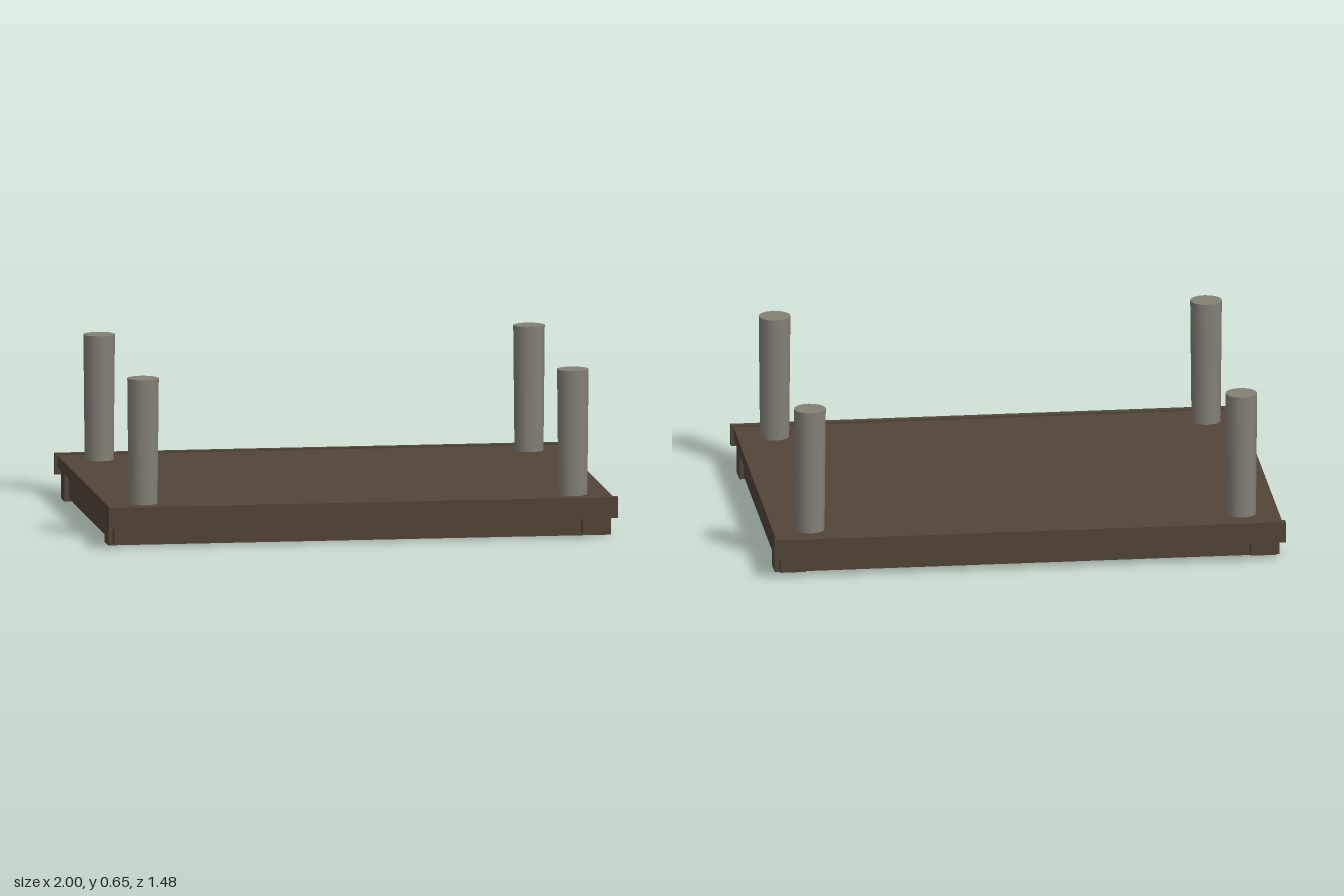
import * as THREE from 'three';

export function createModel() {
  const group = new THREE.Group();
  const wood = new THREE.MeshStandardMaterial({ color: 0x524438 });
  wood.name = 'dark wood';
  const stone = new THREE.MeshStandardMaterial({ color: 0x838075 });
  stone.name = 'grey post';

  // Box given by its centre in x and z and its bottom and top heights
  const box = (name, width, depth, bottom, top, x = 0, z = 0) => {
    const mesh = new THREE.Mesh(new THREE.BoxGeometry(width, top - bottom, depth), wood);
    mesh.position.set(x, (bottom + top) / 2, z);
    mesh.name = name;
    group.add(mesh);
  };

  // Flat deck with a raised trim board along front and back
  box('deck', 1.98, 1.43, 0.11, 0.156);
  for (const s of [1, -1]) {
    box('edgeTrim', 2, 0.027, 0.08, 0.163, 0, s * 0.727);
    // Crossing rails beneath; the long ones sit slightly lower
    box('longRail', 1.975, 0.096, 0, 0.11, 0, s * 0.588);
    box('crossRail', 0.1, 1.366, 0.012, 0.11, s * 0.92, 0);
  }

  // Four slightly tapered round posts
  const postGeometry = new THREE.CylinderGeometry(0.062, 0.057, 0.495, 16);
  for (const x of [-0.844, 0.844]) {
    for (const z of [-0.588, 0.588]) {
      const post = new THREE.Mesh(postGeometry, stone);
      post.position.set(x, 0.4, z);
      post.name = 'post';
      group.add(post);
    }
  }
  return group;
}
